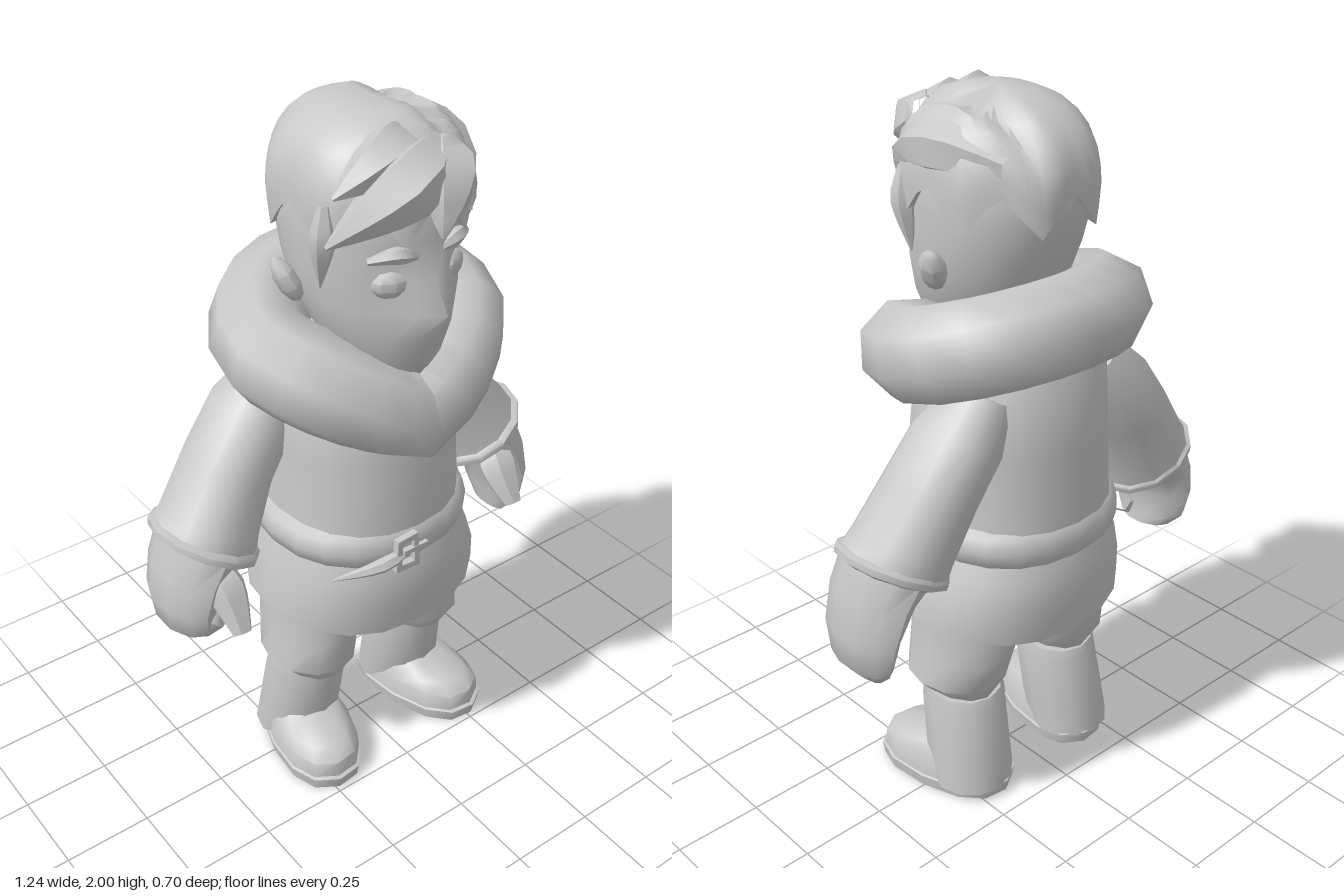
import * as THREE from 'three';
import { toCreasedNormals } from 'three/addons/utils/BufferGeometryUtils.js';

const clay = new THREE.MeshStandardMaterial({ color: 0xc8c8c8 });
clay.name = 'light grey';

function add(parent, name, geometry, crease = 0.8) {
  const mesh = new THREE.Mesh(toCreasedNormals(geometry, crease), clay);
  mesh.name = name;
  parent.add(mesh);
  return mesh;
}

function meshFrom(pos, idx) {
  const g = new THREE.BufferGeometry();
  g.setAttribute('position', new THREE.Float32BufferAttribute(pos, 3));
  g.setIndex(idx);
  return g;
}

// Stacks rings [x, y, z, rx, rz, slopeX, slopeZ] from bottom to top and caps both ends
function loft(rings, n = 16, power = 1) {
  const pos = [], idx = [];
  const pw = v => Math.sign(v) * Math.abs(v) ** power;
  for (const [x, y, z, rx, rz, sx = 0, sz = 0] of rings) {
    for (let j = 0; j < n; j++) {
      const a = j / n * Math.PI * 2, dx = pw(Math.sin(a)) * rx, dz = pw(Math.cos(a)) * rz;
      pos.push(x + dx, y + dx * sx + dz * sz, z + dz);
    }
  }
  for (let i = 0; i < rings.length - 1; i++) {
    for (let j = 0; j < n; j++) {
      const a = i * n + j, b = i * n + (j + 1) % n;
      idx.push(a, b, b + n, a, b + n, a + n);
    }
  }
  const last = (rings.length - 1) * n, c = rings.length * n;
  pos.push(...rings[0].slice(0, 3), ...rings[rings.length - 1].slice(0, 3));
  for (let j = 0; j < n; j++) {
    const k = (j + 1) % n;
    idx.push(c, k, j, c + 1, last + j, last + k);
  }
  return meshFrom(pos, idx);
}

// Moves every vertex by a rule
function bend(g, rule) {
  const p = g.attributes.position, v = new THREE.Vector3();
  for (let i = 0; i < p.count; i++) {
    v.fromBufferAttribute(p, i);
    rule(v, i);
    p.setXYZ(i, v.x, v.y, v.z);
  }
  return g;
}

// Tapered strand through a few points, used for hair, brows and thumbs
function strand(points, r, tip = 0.06) {
  const curve = new THREE.CatmullRomCurve3(points.map(p => new THREE.Vector3(...p)));
  const g = new THREE.TubeGeometry(curve, 7, r, 6);
  return bend(g, (v, i) => {
    const u = Math.floor(i / 7) / 7, c = curve.getPointAt(u);
    const size = u < 0.35 ? 0.4 + u / 0.35 * 0.6 : 1 - (1 - tip) * ((u - 0.35) / 0.65) ** 1.3;
    v.sub(c).multiplyScalar(size).add(c);
  });
}

// Point on the hair surface at angle a (0 = front) and height y
function hairPoint(a, y, k) {
  const t = Math.min(1, Math.max(0, (y - 1.76) / 0.225));
  const low = Math.max(0, 1.76 - y) * 0.35;
  const r = ((1 - t ** 2.4) ** (1 / 2.4) - low) * k;
  return [0.015 + 0.235 * r * Math.sin(a), y, 0.025 + 0.28 * r * Math.cos(a)];
}

// Shell of broad locks, each ending in a point at the hem
function hairCap() {
  const n = 48, pos = [], idx = [], rows = 8;
  for (let i = 0; i <= rows; i++) {
    for (let j = 0; j < n; j++) {
      const a = j / n * Math.PI * 2, c = Math.cos(a), m = j % 6;
      const hem = (c > 0.6 ? 1.81 : 1.77) - [0, 0.03, 0.065, 0.1, 0.06, 0.02][m];
      const bulge = 0.035 * i / rows * (1 - Math.abs(m - 3) / 1.5);
      const y = i < rows ? 1.985 - (1.985 - hem) * (i / (rows - 1)) ** 1.6 : hem + 0.02;
      pos.push(...hairPoint(a, y, i < rows ? 1 + bulge : 0.85));
    }
  }
  for (let i = 0; i < rows; i++) {
    for (let j = 0; j < n; j++) {
      const a = i * n + j, b = i * n + (j + 1) % n;
      idx.push(a, b + n, b, a, a + n, b + n);
    }
  }
  pos.push(0.015, 1.995, 0.025);
  for (let j = 0; j < n; j++) idx.push((rows + 1) * n, j, (j + 1) % n);
  // Groove along the parting
  return bend(meshFrom(pos, idx), v => {
    if (v.y > 1.85) v.y -= 0.035 * Math.max(0, 1 - Math.abs(v.x - 0.11) / 0.05);
  });
}

function buildHead(root) {
  const head = new THREE.Group();
  head.name = 'head';
  root.add(head);
  const skull = loft([
    [0.01, 1.28, 0.12, 0.07, 0.1], [0.01, 1.37, 0.1, 0.135, 0.165], [0.01, 1.45, 0.075, 0.18, 0.2],
    [0.01, 1.53, 0.055, 0.205, 0.22], [0.01, 1.61, 0.035, 0.215, 0.232], [0.01, 1.7, 0.025, 0.22, 0.25],
    [0.01, 1.8, 0.02, 0.215, 0.25], [0.01, 1.9, 0.02, 0.17, 0.2], [0.01, 1.93, 0.02, 0.07, 0.09]], 24);
  // Pinch the face forward into a nose ridge
  bend(skull, v => {
    if (v.z > 0.1) v.z += 0.07 * Math.max(0, 1 - Math.abs(v.x - 0.01) / 0.11) * Math.max(0, 1 - Math.abs(v.y - 1.53) / 0.14);
  });
  add(head, 'face', skull, 1.2);

  for (const s of [-1, 1]) {
    const ear = add(head, 'ear', new THREE.SphereGeometry(1, 7, 5), 0.9);
    ear.scale.set(0.03, 0.065, 0.04);
    ear.position.set(0.01 + s * 0.232, 1.565, 0.012);
    ear.rotation.set(-0.2, s * 0.35, -s * 0.4);
    const eye = add(head, 'eye', new THREE.SphereGeometry(1, 7, 5), 0.9);
    eye.scale.set(0.048, 0.036, 0.022);
    eye.position.set(0.01 + s * 0.095, 1.602, 0.243);
    eye.rotation.y = s * 0.4;
    add(head, 'eyebrow', strand([[0.01 + s * 0.035, 1.67, 0.268], [0.01 + s * 0.09, 1.685, 0.262],
      [0.01 + s * 0.15, 1.67, 0.225]], 0.023, 0.35));
  }

  add(head, 'hair', hairCap(), 0.7);
  // Swept fringe, side roll and sideburns
  const locks = [
    [[[0.08, 1.9, 0.2], [-0.04, 1.86, 0.26], [-0.24, 1.725, 0.2]], 0.09],
    [[[0.1, 1.9, 0.2], [0.05, 1.84, 0.275], [0.0, 1.73, 0.33]], 0.085],
    [[[0.05, 1.91, 0.14], [-0.1, 1.89, 0.2], [-0.22, 1.84, 0.2]], 0.08],
    [[[0.15, 1.84, -0.16], [0.185, 1.86, -0.02], [0.195, 1.84, 0.13], [0.15, 1.73, 0.25]], 0.075],
    [[[-0.2, 1.8, 0.14], [-0.205, 1.72, 0.14], [-0.2, 1.58, 0.12]], 0.035],
    [[[0.22, 1.8, 0.14], [0.225, 1.72, 0.14], [0.22, 1.58, 0.12]], 0.035]];
  for (const [points, r] of locks) add(head, 'hairLock', strand(points, r), 0.9);
}

function buildBody(root) {
  add(root, 'tunicTop', loft([[0, 0.8, 0, 0.275, 0.27], [0, 0.88, 0, 0.262, 0.272], [0, 1.08, -0.002, 0.258, 0.258],
    [0, 1.25, -0.01, 0.25, 0.24], [0, 1.36, -0.01, 0.18, 0.18]], 20, 0.88));
  // Skirt hem dips at the front and back
  const skirt = loft([[0.01, 0.63, 0, 0.26, 0.22], [0.01, 0.585, 0, 0.33, 0.275], [0.01, 0.65, 0, 0.322, 0.287],
    [0.005, 0.73, 0, 0.298, 0.285], [0, 0.81, 0, 0.268, 0.26]], 20, 0.88);
  add(root, 'tunicSkirt', bend(skirt, v => { if (v.y < 0.64) v.y -= 0.045 * (v.z / 0.28) ** 2; }));
  add(root, 'belt', loft([[0, 0.77, 0, 0.265, 0.265], [0, 0.785, 0, 0.283, 0.278], [0, 0.825, 0, 0.295, 0.286],
    [0, 0.865, 0, 0.285, 0.278], [0, 0.885, 0, 0.26, 0.26]], 20, 0.88));

  // Buckle frame with prong and loose strap end
  const frame = new THREE.Shape([[-0.04, -0.05], [0.04, -0.055], [0.03, 0.055], [-0.035, 0.05]].map(p => new THREE.Vector2(...p)));
  frame.holes.push(new THREE.Path([[-0.022, -0.032], [-0.02, 0.032], [0.018, 0.036], [0.022, -0.036]].map(p => new THREE.Vector2(...p))));
  add(root, 'buckle', new THREE.ExtrudeGeometry(frame, { depth: 0.02, bevelEnabled: false })).position.set(-0.05, 0.815, 0.275);
  add(root, 'prong', new THREE.BoxGeometry(0.08, 0.014, 0.014)).position.set(-0.025, 0.82, 0.29);
  add(root, 'strapEnd', strand([[-0.02, 0.82, 0.28], [-0.12, 0.8, 0.28], [-0.25, 0.765, 0.215]], 0.022));

  // Thick fur collar, dropping to a V in front and rising behind
  const ring = [];
  for (let i = 0; i < 20; i++) {
    const a = i / 20 * Math.PI * 2, c = Math.cos(a), s = Math.sin(a);
    const y = c > 0 ? 1.36 - 0.165 * (1 - Math.abs(s)) ** 0.9 : 1.36 - 0.07 * c;
    ring.push(new THREE.Vector3(0.012 + 0.28 * s, y, 0.215 * c - 0.005));
  }
  add(root, 'furCollar', new THREE.TubeGeometry(new THREE.CatmullRomCurve3(ring, true), 20, 0.132, 8, true), 1);
}

function buildArm(root, s) {
  const side = rings => rings.map(([x, y, z, rx, rz, k = 0]) => [x * s, y, z, rx, rz, k * s]);
  const arm = new THREE.Group();
  arm.name = s > 0 ? 'leftArm' : 'rightArm';
  root.add(arm);
  add(arm, 'sleeve', loft(side([[0.455, 0.855, -0.065, 0.13, 0.15, 0.52], [0.435, 0.89, -0.07, 0.122, 0.145, 0.52],
    [0.355, 1.03, -0.09, 0.108, 0.137, 0.5], [0.268, 1.15, -0.1, 0.1, 0.13, 0.6], [0.19, 1.25, -0.1, 0.07, 0.09, 0.6]]), 12));
  add(arm, 'cuff', loft(side([[0.468, 0.82, -0.06, 0.11, 0.13, 0.52], [0.465, 0.833, -0.06, 0.138, 0.158, 0.52],
    [0.46, 0.85, -0.062, 0.14, 0.16, 0.52], [0.452, 0.864, -0.065, 0.122, 0.145, 0.52]]), 12));
  // One hand hangs open, the other is a loose fist
  const hand = s > 0
    ? [[0.545, 0.53, -0.04, 0.02, 0.06], [0.565, 0.59, -0.05, 0.052, 0.115], [0.56, 0.68, -0.052, 0.065, 0.135]]
    : [[0.525, 0.595, -0.05, 0.055, 0.085], [0.545, 0.63, -0.05, 0.07, 0.12], [0.55, 0.7, -0.052, 0.073, 0.135]];
  add(arm, 'hand', loft(side([...hand, [0.525, 0.78, -0.055, 0.085, 0.14, 0.2], [0.478, 0.85, -0.06, 0.1, 0.14, 0.5]]), 10));
  add(arm, 'thumb', strand([[s * 0.49, 0.82, 0], [s * 0.475, 0.74, 0.065], [s * 0.478, 0.65, 0.135]], 0.06, 0.45));
  if (s < 0) add(arm, 'fingers', strand([[-0.55, 0.69, 0.01], [-0.5, 0.64, 0.01], [-0.46, 0.65, 0]], 0.065, 0.55));
}

function buildLeg(root, s) {
  const leg = new THREE.Group();
  leg.name = s > 0 ? 'leftLeg' : 'rightLeg';
  leg.position.x = 0.012;
  root.add(leg);
  const side = rings => rings.map(([x, ...rest]) => [x * s, ...rest]);
  add(leg, 'trouserLeg', loft(side([[0.185, 0.33, 0, 0.08, 0.09], [0.185, 0.315, 0, 0.09, 0.125], [0.19, 0.365, 0, 0.13, 0.155],
    [0.177, 0.46, -0.01, 0.13, 0.168], [0.158, 0.54, -0.015, 0.143, 0.178], [0.15, 0.66, -0.015, 0.15, 0.18]]), 12));
  add(leg, 'bootShaft', loft(side([[0.195, 0.03, -0.07, 0.12, 0.115], [0.19, 0.14, -0.045, 0.12, 0.122],
    [0.182, 0.29, -0.02, 0.117, 0.12], [0.182, 0.325, -0.015, 0.112, 0.115, 0, 0.1], [0.182, 0.32, -0.015, 0.08, 0.08]]), 12));
  // Foot and sole turn out
  const foot = new THREE.Group();
  foot.name = 'foot';
  foot.position.set(s * 0.206, 0, 0.03);
  foot.rotation.y = s * 0.22;
  leg.add(foot);
  add(foot, 'bootFoot', loft([[0, 0.035, 0, 0.12, 0.205], [0, 0.085, 0, 0.115, 0.2], [0, 0.115, -0.015, 0.1, 0.175],
    [0, 0.15, -0.05, 0.085, 0.11, 0, -0.1], [0, 0.175, -0.07, 0.05, 0.06]], 12, 0.85));
  add(foot, 'sole', loft([[0, 0, 0, 0.12, 0.21], [0, 0.035, 0, 0.125, 0.216], [0, 0.042, 0, 0.112, 0.195]], 12, 0.85));
}

export function createModel() {
  const root = new THREE.Group();
  root.name = 'parkaFigure';
  buildHead(root);
  buildBody(root);
  for (const s of [-1, 1]) {
    buildArm(root, s);
    buildLeg(root, s);
  }
  return root;
}
